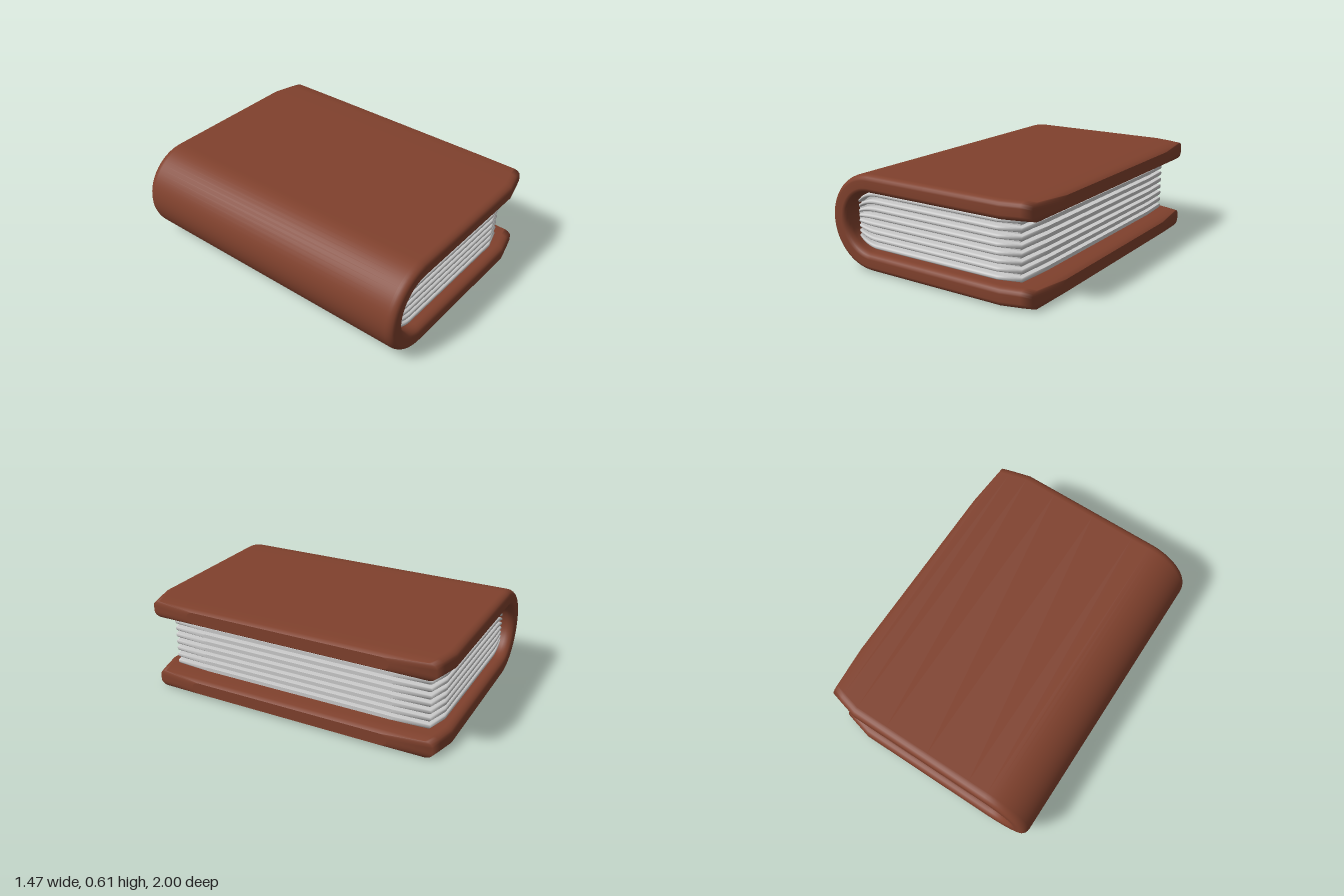
import * as THREE from 'three';

const CY = 0.3025;      // mid height of the book
const SPINE_X = -0.43;  // centre of the spine curve

// Rounded-rectangle section of half thickness h and half width w, as [n, z] pairs
function section(h, w, rn, rz, seg = 5) {
  const pts = [];
  [[1, 1], [-1, 1], [-1, -1], [1, -1]].forEach(([sn, sz], q) => {
    for (let k = 0; k <= seg; k++) {
      const a = (q + k / seg) * Math.PI / 2;
      pts.push([sn * (h - rn) + rn * Math.cos(a), sz * (w - rz) + rz * Math.sin(a)]);
    }
  });
  return pts;
}

// Skin a row of stations {x, y, nx, ny, h, w}; both ends get flat caps
function loft(stations, rn, rz) {
  const pos = [], idx = [];
  const rings = stations.map(s => section(s.h, s.w, Math.min(rn, s.h * 0.95), rz)
    .map(([n, z]) => [s.x + s.nx * n, s.y + s.ny * n, z]));
  const m = rings[0].length;
  rings.forEach(r => r.forEach(p => pos.push(...p)));
  for (let i = 0; i < rings.length - 1; i++) {
    for (let j = 0; j < m; j++) {
      const a = i * m + j, b = i * m + (j + 1) % m;
      idx.push(a, b, b + m, a, b + m, a + m);
    }
  }
  [0, rings.length - 1].forEach(e => {
    const s = stations[e], c = pos.length / 3;
    pos.push(s.x, s.y, 0);
    rings[e].forEach(p => pos.push(...p));
    for (let j = 0; j < m; j++) {
      const a = c + 1 + j, b = c + 1 + (j + 1) % m;
      if (e) idx.push(c, a, b); else idx.push(c, b, a);
    }
  });
  const g = new THREE.BufferGeometry();
  g.setAttribute('position', new THREE.Float32BufferAttribute(pos, 3));
  g.setIndex(idx);
  g.computeVertexNormals();
  return g;
}

// One bent cover: lower board, round spine, upper board
function coverGeometry() {
  const h = 0.0575, r = CY - h;
  // board stations from the spine to the fore edge: x, half width, half thickness
  const board = [[-0.3, 1, h], [0, 1, h], [0.3, 1, h], [0.52, 1, h],
    [0.64, 0.97, 0.0565], [0.708, 0.952, 0.054], [0.733, 0.68, 0.038]];
  const leg = s => board.map(([x, w, t]) => ({ x, y: CY + s * r, nx: 0, ny: s, w, h: t }));
  const spine = [];
  for (let i = 0; i <= 32; i++) {
    const a = -Math.PI / 2 - Math.PI * i / 32;
    const nx = Math.cos(a), ny = Math.sin(a);
    spine.push({ x: SPINE_X + r * nx, y: CY + r * ny, nx, ny, w: 1, h });
  }
  return loft([...leg(-1).reverse(), ...spine, ...leg(1)], 0.035, 0.05);
}

// A page sheet whose spine end bends toward the middle height
function pageGeometry(dy) {
  const rows = [];
  for (let i = 0; i <= 7; i++) rows.push([-0.57 + 0.02 * i, 0.93, 0.0135]);
  rows.push([-0.1, 0.93, 0.0135], [0.2, 0.93, 0.0135], [0.46, 0.93, 0.0135],
    [0.595, 0.89, 0.0135], [0.61, 0.66, 0.012]);
  return loft(rows.map(([x, w, h]) => {
    const d = Math.max(0, SPINE_X - x) / 0.187;
    const k = Math.sqrt(1 - d * d);
    return { x, y: CY + dy * k, nx: 0, ny: 1, w, h: h * (0.4 + 0.6 * k) };
  }), 0.011, 0.015);
}

// Recessed core filling the hollow of the cover
function pageBlockGeometry() {
  const r = 0.187, depth = 1.76;
  const s = new THREE.Shape();
  s.moveTo(0.565, -r);
  s.lineTo(0.565, r);
  s.lineTo(0.4, r);
  s.lineTo(SPINE_X, r);
  s.absarc(SPINE_X, 0, r, Math.PI / 2, Math.PI * 1.5, false);
  s.lineTo(0.4, -r);
  s.closePath();
  const g = new THREE.ExtrudeGeometry(s, { depth, bevelEnabled: false, curveSegments: 24 });
  g.translate(0, CY, -depth / 2);
  // draw in the fore-edge corners
  const p = g.attributes.position;
  for (let i = 0; i < p.count; i++) if (p.getX(i) > 0.5) p.setZ(i, p.getZ(i) * 0.97);
  return g;
}

export function createModel() {
  const book = new THREE.Group();
  book.name = 'book';
  const leather = new THREE.MeshStandardMaterial({ color: 0x80412d });
  const paper = new THREE.MeshStandardMaterial({ color: 0xcccccc });
  const add = (name, geometry, material, parent = book) => {
    const mesh = new THREE.Mesh(geometry, material);
    mesh.name = name;
    parent.add(mesh);
  };

  add('cover', coverGeometry(), leather);

  const pages = new THREE.Group();
  pages.name = 'pages';
  book.add(pages);
  add('pageBlock', pageBlockGeometry(), paper, pages);
  for (let i = 0; i < 8; i++) add('page' + (i + 1), pageGeometry((i - 3.5) * 0.0475), paper, pages);

  return book;
}
